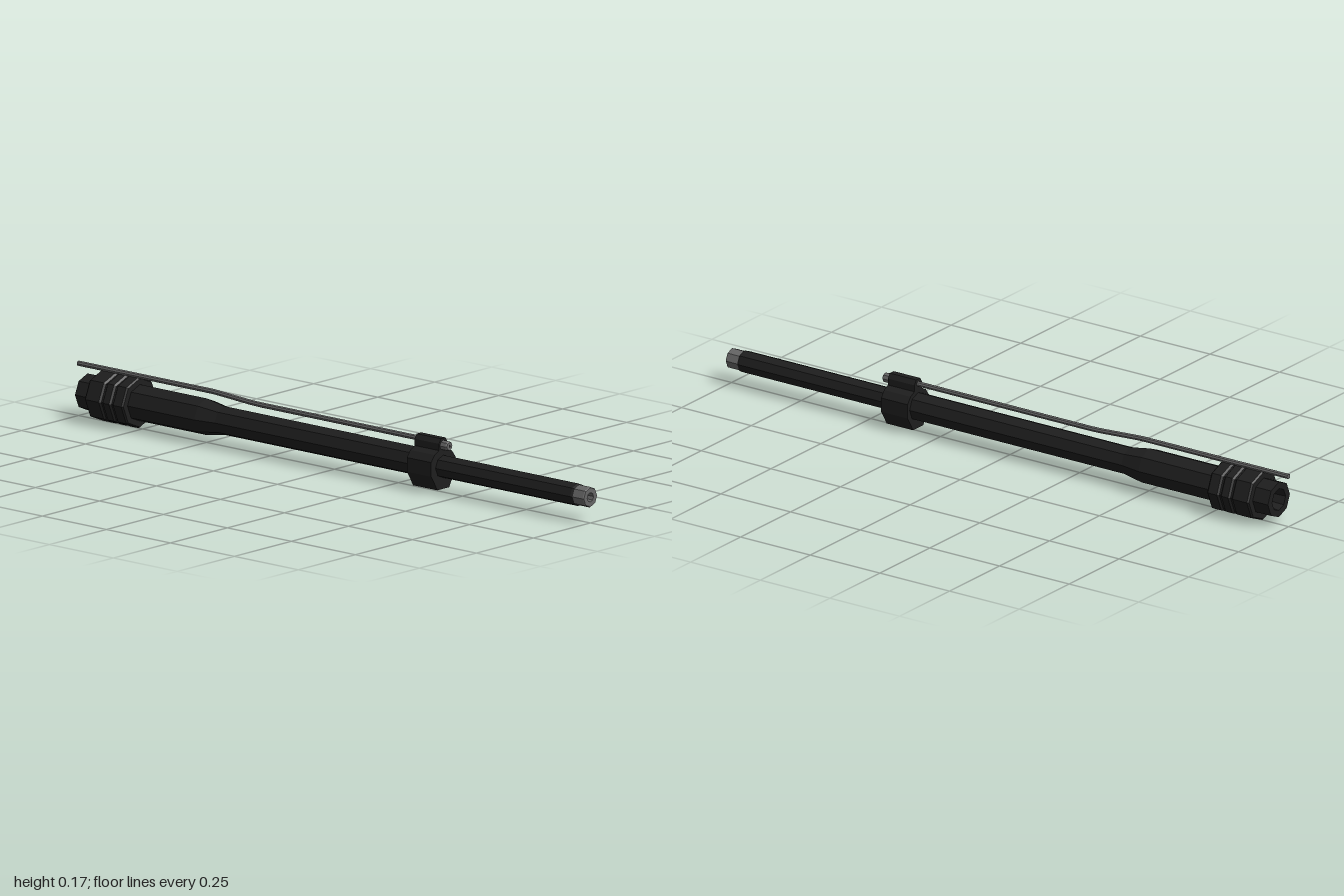
import * as THREE from 'three';

const AXIS = 0.077; // height of the barrel axis

export function createModel() {
  const model = new THREE.Group();
  const black = new THREE.MeshStandardMaterial({ color: 0x1e1e1e, flatShading: true });
  black.name = 'black steel';
  const grey = new THREE.MeshStandardMaterial({ color: 0x666666, flatShading: true });
  grey.name = 'bare steel';

  const add = (name, geometry, material) => {
    const mesh = new THREE.Mesh(geometry, material);
    mesh.name = name;
    model.add(mesh);
    return mesh;
  };

  // Eight-sided turned part along x, from [x, radius] pairs
  const turned = (name, profile, material, y = AXIS, sides = 8) => {
    const points = profile.map(([x, r]) => new THREE.Vector2(r, x));
    const geometry = new THREE.LatheGeometry(points, sides).rotateZ(-Math.PI / 2);
    return add(name, geometry.translate(0, y, 0), material);
  };

  // Barrel with a short open bore at the rear
  turned('barrel', [
    [-0.9, 0], [-0.9, 0.028], [-0.965, 0.034], [-0.965, 0.055], [-0.5, 0.055],
    [-0.43, 0.043], [0.38, 0.043], [0.38, 0.034], [0.95, 0.034], [0.96, 0.03], [0.96, 0],
  ], black);

  // Muzzle end with bore
  turned('muzzleThread', [
    [0.955, 0], [0.955, 0.031], [0.997, 0.031], [1, 0.029], [1, 0.014], [0.965, 0.014], [0.965, 0],
  ], grey);

  // Grooved barrel nut
  turned('barrelNut', [
    [-0.91, 0.05], [-0.91, 0.073], [-0.905, 0.077], [-0.853, 0.077], [-0.848, 0.071], [-0.842, 0.071],
    [-0.837, 0.077], [-0.813, 0.077], [-0.808, 0.071], [-0.802, 0.071], [-0.797, 0.077],
    [-0.765, 0.077], [-0.76, 0.073], [-0.76, 0.05],
  ], black);

  // Gas block: a faceted collar with a raised tube housing and a flat foot
  const half = [
    [0.026, 0.01], [0.04, 0.035], [0.053, 0.055], [0.053, 0.098], [0.038, 0.118],
    [0.019, 0.128], [0.019, 0.148], [0.01, 0.162],
  ];
  const outline = [...half, ...half.map(([z, y]) => [-z, y]).reverse()];
  const blockShape = new THREE.Shape(outline.map(([z, y]) => new THREE.Vector2(z, y)));
  const block = new THREE.ExtrudeGeometry(blockShape, { depth: 0.095, bevelEnabled: false });
  add('gasBlock', block.rotateY(Math.PI / 2).translate(0.33, 0, 0), black);

  // Gas tube with its slight downward step
  const path = new THREE.CurvePath();
  const stops = [[-1, 0.157], [-0.47, 0.157], [-0.31, 0.147], [0.35, 0.147]]
    .map(([x, y]) => new THREE.Vector3(x, y, 0));
  for (let i = 1; i < stops.length; i++) path.add(new THREE.LineCurve3(stops[i - 1], stops[i]));
  add('gasTube', new THREE.TubeGeometry(path, 36, 0.008, 8), grey);
  const cap = new THREE.CircleGeometry(0.008, 8).rotateY(-Math.PI / 2);
  add('gasTubeEnd', cap.translate(-1, 0.157, 0), grey);

  // Plug in front of the gas block
  turned('gasPlug', [[0.42, 0], [0.42, 0.015], [0.446, 0.015], [0.45, 0.012], [0.45, 0]], grey, 0.141);
  turned('gasPlugHole', [[0.449, 0.004], [0.451, 0.004], [0.451, 0]], black, 0.141);

  return model;
}
